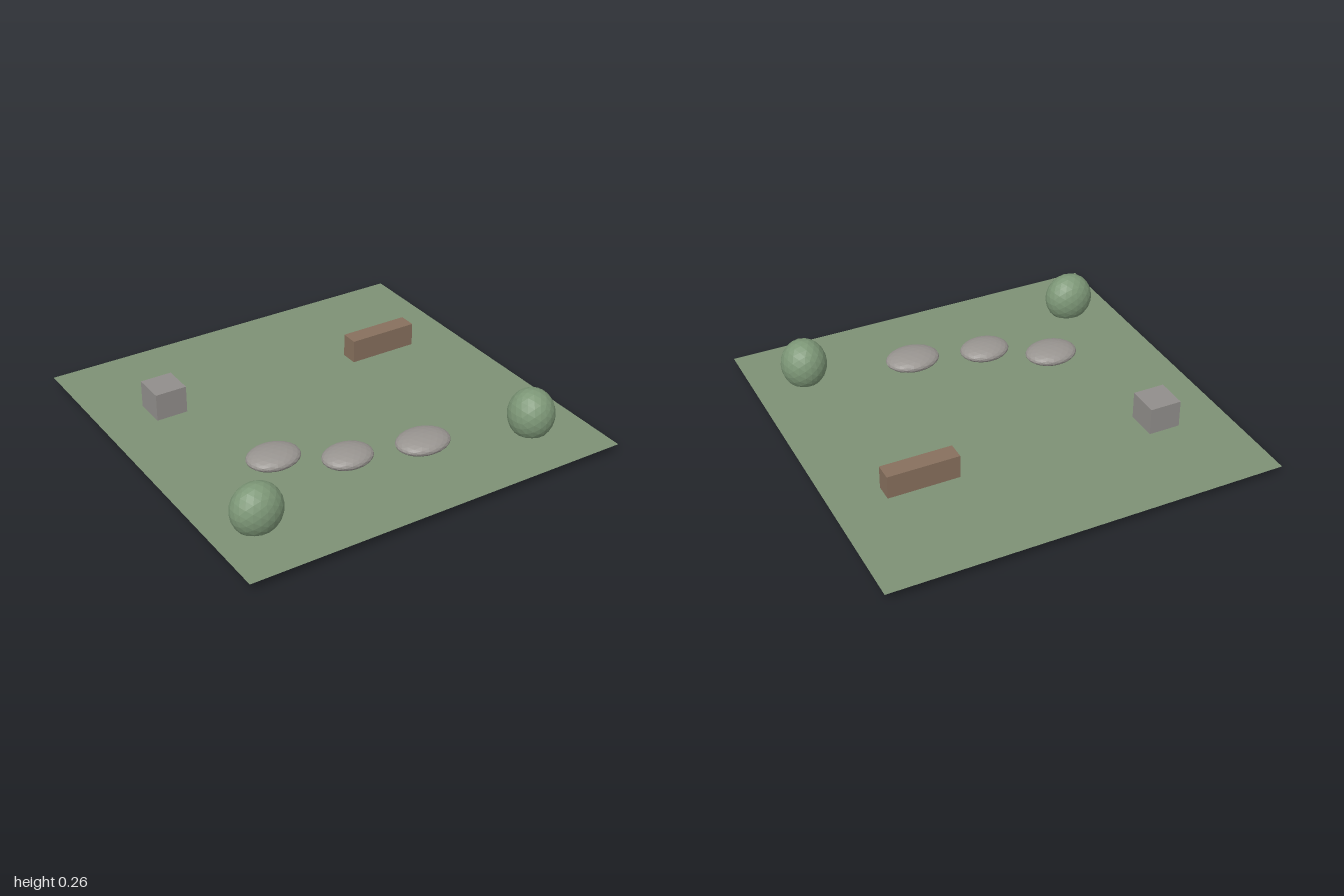
import * as THREE from 'three';

const GROUND_Y = 0.04;

function material(name, color) {
  const m = new THREE.MeshStandardMaterial({ color });
  m.name = name;
  return m;
}

export function createModel() {
  const group = new THREE.Group();
  const grass = material('grass green', 0x7d9175);
  grass.side = THREE.DoubleSide;
  const leaf = material('leaf green', 0x7d9777);
  const stone = material('stone grey', 0x989490);
  const block = material('block grey', 0x918e8b);
  const wood = material('wood brown', 0x87705d);

  function add(name, geometry, mat, x, y, z) {
    const mesh = new THREE.Mesh(geometry, mat);
    mesh.name = name;
    mesh.position.set(x, y, z);
    group.add(mesh);
  }

  // Faceted ellipsoid with one normal per face
  function ellipsoid(rx, ry, rz) {
    const g = new THREE.IcosahedronGeometry(1, 3);
    g.scale(rx, ry, rz);
    g.computeVertexNormals();
    return g;
  }

  // Thin lawn
  add('lawn', new THREE.PlaneGeometry(2, 2).rotateX(-Math.PI / 2), grass, 0, GROUND_Y, 0);

  // Round bushes, sunk slightly through the lawn
  add('rightBush', ellipsoid(0.128, 0.13, 0.104), leaf, -0.768, 0.13, 0.658);
  add('leftBush', ellipsoid(0.116, 0.13, 0.116), leaf, 0.732, 0.13, 0.673);

  // Flat stepping stones: x, z, radius x, radius z
  const stones = [
    [-0.462, 0.28, 0.135, 0.109],
    [-0.169, 0.457, 0.129, 0.104],
    [0.198, 0.538, 0.14, 0.11],
  ];
  stones.forEach(([x, z, rx, rz], i) =>
    add(`steppingStone${i + 1}`, ellipsoid(rx, 0.043, rz), stone, x, GROUND_Y + 0.043, z));

  // Stone block and wooden bench
  add('stoneBlock', new THREE.BoxGeometry(0.162, 0.14, 0.162), block, -0.661, GROUND_Y + 0.07, -0.429);
  add('bench', new THREE.BoxGeometry(0.364, 0.12, 0.091), wood, 0.556, GROUND_Y + 0.06, -0.367);

  return group;
}
